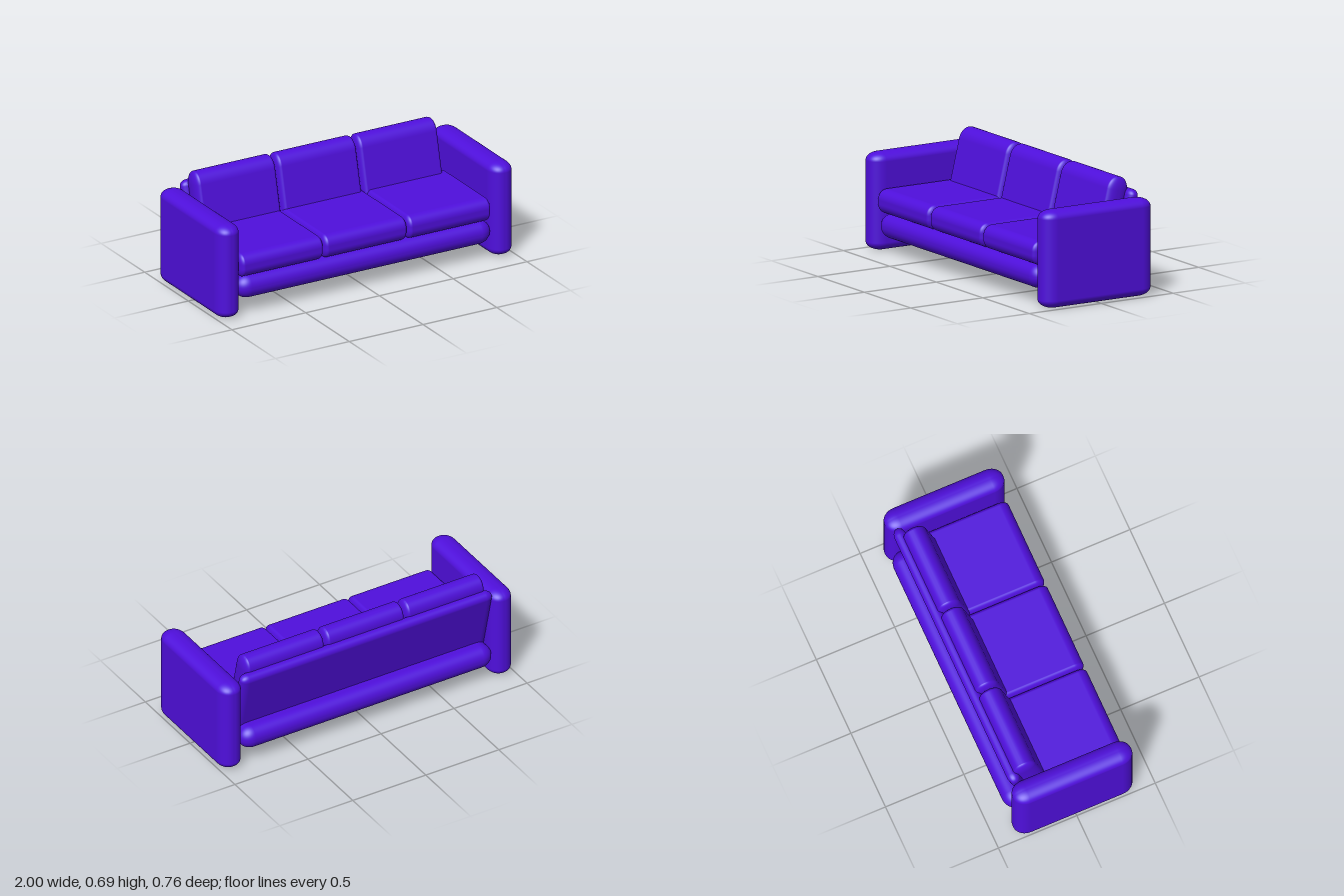
import * as THREE from 'three';
import { RoundedBoxGeometry } from 'three/addons/geometries/RoundedBoxGeometry.js';

const fabric = new THREE.MeshStandardMaterial({ color: 0x4f0fdc });
fabric.name = 'violet fabric';

// Padded box whose corner radius differs along each axis
function paddedBox(name, size, radii, position, tilt = 0) {
  const [rx, ry, rz] = radii;
  const geometry = new RoundedBoxGeometry(size[0] / rx, size[1] / ry, size[2] / rz, 6, 1);
  geometry.scale(rx, ry, rz);
  const mesh = new THREE.Mesh(geometry, fabric);
  mesh.name = name;
  mesh.position.set(...position);
  mesh.rotation.x = tilt;
  return mesh;
}

export function createModel() {
  const sofa = new THREE.Group();
  sofa.name = 'sofa';
  const lean = -0.24;

  // Slab arms reaching the floor
  for (const side of [-1, 1]) {
    const name = side > 0 ? 'leftArm' : 'rightArm';
    sofa.add(paddedBox(name, [0.15, 0.585, 0.755], [0.07, 0.05, 0.085], [side * 0.925, 0.2925, 0.002]));
  }

  // Base bolster and leaning back panel
  sofa.add(paddedBox('base', [1.72, 0.145, 0.745], [0.08, 0.07, 0.07], [0, 0.1625, -0.0085]));
  sofa.add(paddedBox('backPanel', [1.72, 0.47, 0.074], [0.05, 0.036, 0.035], [0, 0.382, -0.279], lean));

  // Three seat cushions and three back cushions
  const seats = new THREE.Group();
  seats.name = 'seatCushions';
  const backs = new THREE.Group();
  backs.name = 'backCushions';
  for (let i = -1; i <= 1; i++) {
    seats.add(paddedBox('seatCushion', [0.57, 0.145, 0.57], [0.03, 0.06, 0.06], [i * 0.567 - 0.005, 0.3075, 0.082]));
    backs.add(paddedBox('backCushion', [0.547, 0.42, 0.14], [0.03, 0.08, 0.066], [i * 0.548 - 0.012, 0.482, -0.217], lean));
  }
  sofa.add(seats, backs);
  return sofa;
}
